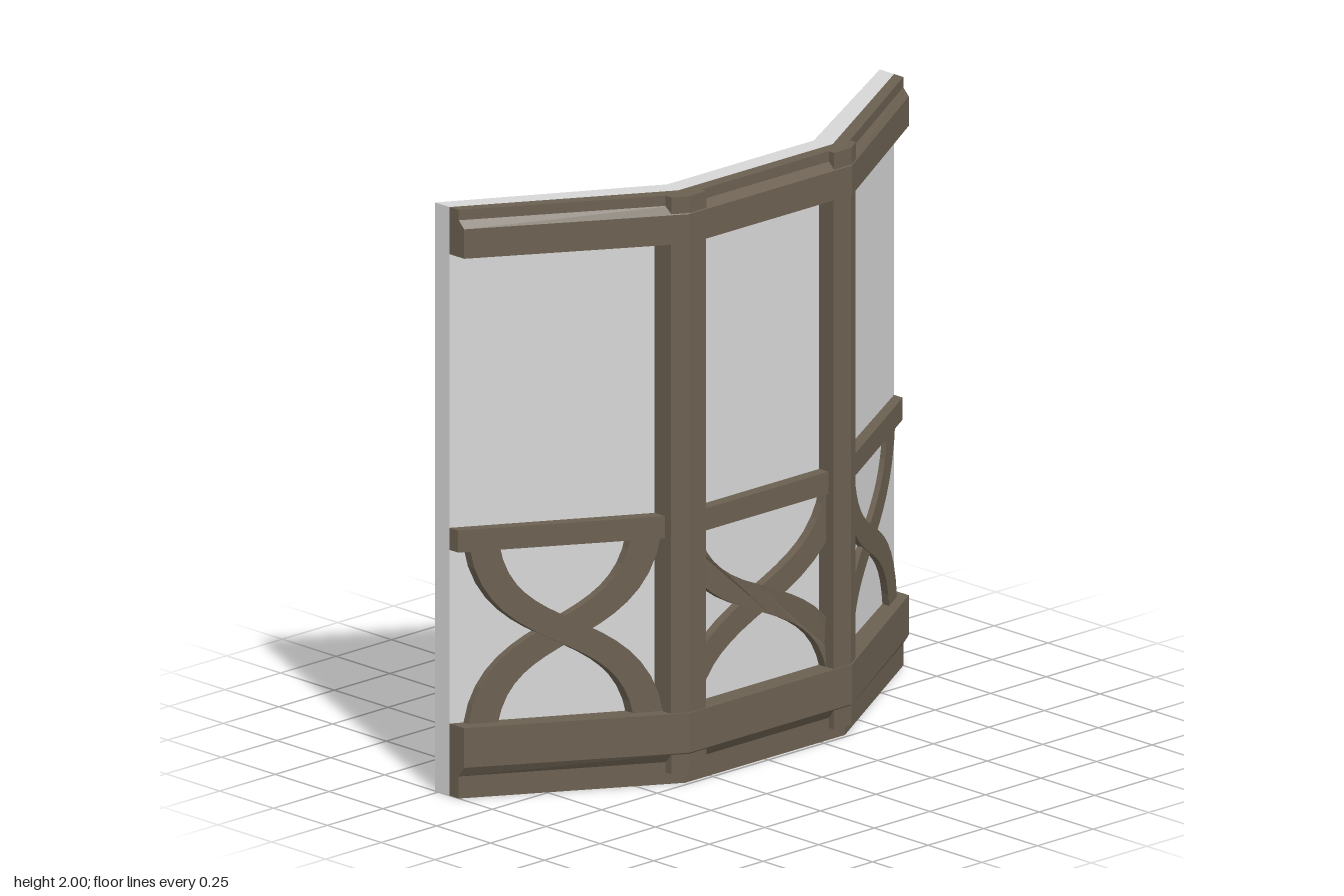
import * as THREE from 'three';

const timber = new THREE.MeshStandardMaterial({ color: 0x6b6051 });
timber.name = 'brown timber';
const plaster = new THREE.MeshStandardMaterial({ color: 0xd6d6d6 });
plaster.name = 'pale plaster';

// Bent bay plan: d is the distance out from the back of the wall.
const cornerX = (d) => 0.33 + 0.25 * d;
function planZ(x, d) {
  const c = cornerX(d), front = 0.12 + d, end = -0.265 + 0.95 * d;
  const t = Math.max(0, (Math.abs(x) - c) / (1 - c));
  return front + (end - front) * t;
}

// Sweeps a [d, y] profile along stations in x; each station is a function of d.
function sweep(name, profile, stations, material) {
  const shape = new THREE.Shape(profile.map(([d, y]) => new THREE.Vector2(-d, y)));
  const n = stations.length - 1;
  const geo = new THREE.ExtrudeGeometry(shape, { depth: n, steps: n, bevelEnabled: false });
  const p = geo.attributes.position;
  for (let i = 0; i < p.count; i++) {
    const d = -p.getX(i);
    const x = stations[Math.round(p.getZ(i))](d);
    p.setXYZ(i, x, p.getY(i), planZ(x, d));
  }
  geo.computeVertexNormals();
  const mesh = new THREE.Mesh(geo, material);
  mesh.name = name;
  return mesh;
}

const rect = (d0, d1, y0, y1) => [[d0, y0], [d1, y0], [d1, y1], [d0, y1]];
const fullWidth = [() => -1, (d) => -cornerX(d), cornerX, () => 1];
const aroundCorner = (side) => side > 0
  ? [() => 0.287, cornerX, () => 0.415]
  : [() => -0.415, (d) => -cornerX(d), () => -0.287];

// S-curved brace of constant width, falling left to right (dir 1) or right to left (dir -1).
function brace(name, cx, half, inset, dir, d1) {
  const v = (x, y) => new THREE.Vector2(cx + dir * x, y);
  const curve = new THREE.CubicBezierCurve(
    v(-half, 0.85), v(-half + inset, 0.485), v(half - inset, 0.595), v(half, 0.235));
  const left = [], right = [], steps = 16, w = 0.042;
  for (let i = 0; i <= steps; i++) {
    const p = curve.getPoint(i / steps), t = curve.getTangent(i / steps);
    left.push(new THREE.Vector2(p.x - t.y * w, p.y + t.x * w));
    right.unshift(new THREE.Vector2(p.x + t.y * w, p.y - t.x * w));
  }
  // keep the ends inside the rails
  const outline = [...left, ...right];
  outline.forEach((q) => { q.y = THREE.MathUtils.clamp(q.y, 0.235, 0.86); });
  const d0 = 0.065;
  const geo = new THREE.ExtrudeGeometry(new THREE.Shape(outline), { depth: d1 - d0, bevelEnabled: false });
  const p = geo.attributes.position;
  for (let i = 0; i < p.count; i++) p.setZ(i, planZ(p.getX(i), d0 + p.getZ(i)));
  geo.computeVertexNormals();
  const mesh = new THREE.Mesh(geo, timber);
  mesh.name = name;
  return mesh;
}

export function createModel() {
  const model = new THREE.Group();
  model.name = 'bayWall';

  // Plaster wall
  model.add(sweep('wall', rect(0, 0.07, 0, 2), fullWidth, plaster));

  // Chamfered bottom and top beams, plain middle rail
  model.add(sweep('bottomBeam', [
    [0.07, 0], [0.115, 0], [0.115, 0.075], [0.142, 0.11], [0.142, 0.245], [0.07, 0.245],
  ], fullWidth, timber));
  model.add(sweep('topBeam', [
    [0.07, 1.84], [0.142, 1.84], [0.142, 1.94], [0.115, 1.965], [0.115, 2], [0.07, 2],
  ], fullWidth, timber));
  model.add(sweep('middleRail', rect(0.07, 0.112, 0.835, 0.91), fullWidth, timber));

  // Corner posts with end blocks showing past the beams
  for (const side of [-1, 1]) {
    const label = side > 0 ? 'left' : 'right';
    const st = aroundCorner(side);
    model.add(sweep(label + 'Post', rect(0.07, 0.137, 0.24, 1.845), st, timber));
    model.add(sweep(label + 'LowerBlock', rect(0.07, 0.139, 0.04, 0.105), st, timber));
    model.add(sweep(label + 'UpperBlock', rect(0.07, 0.139, 1.935, 2), st, timber));
  }

  // Crossed curved braces in each panel
  const panels = [['right', -0.687, 0.2325, 0.045], ['centre', 0, 0.33, 0.07], ['left', 0.687, 0.2325, 0.045]];
  for (const [label, cx, half, inset] of panels) {
    model.add(brace(label + 'FrontBrace', cx, half, inset, 1, 0.102));
    model.add(brace(label + 'BackBrace', cx, half, inset, -1, label === 'centre' ? 0.101 : 0.094));
  }
  return model;
}
